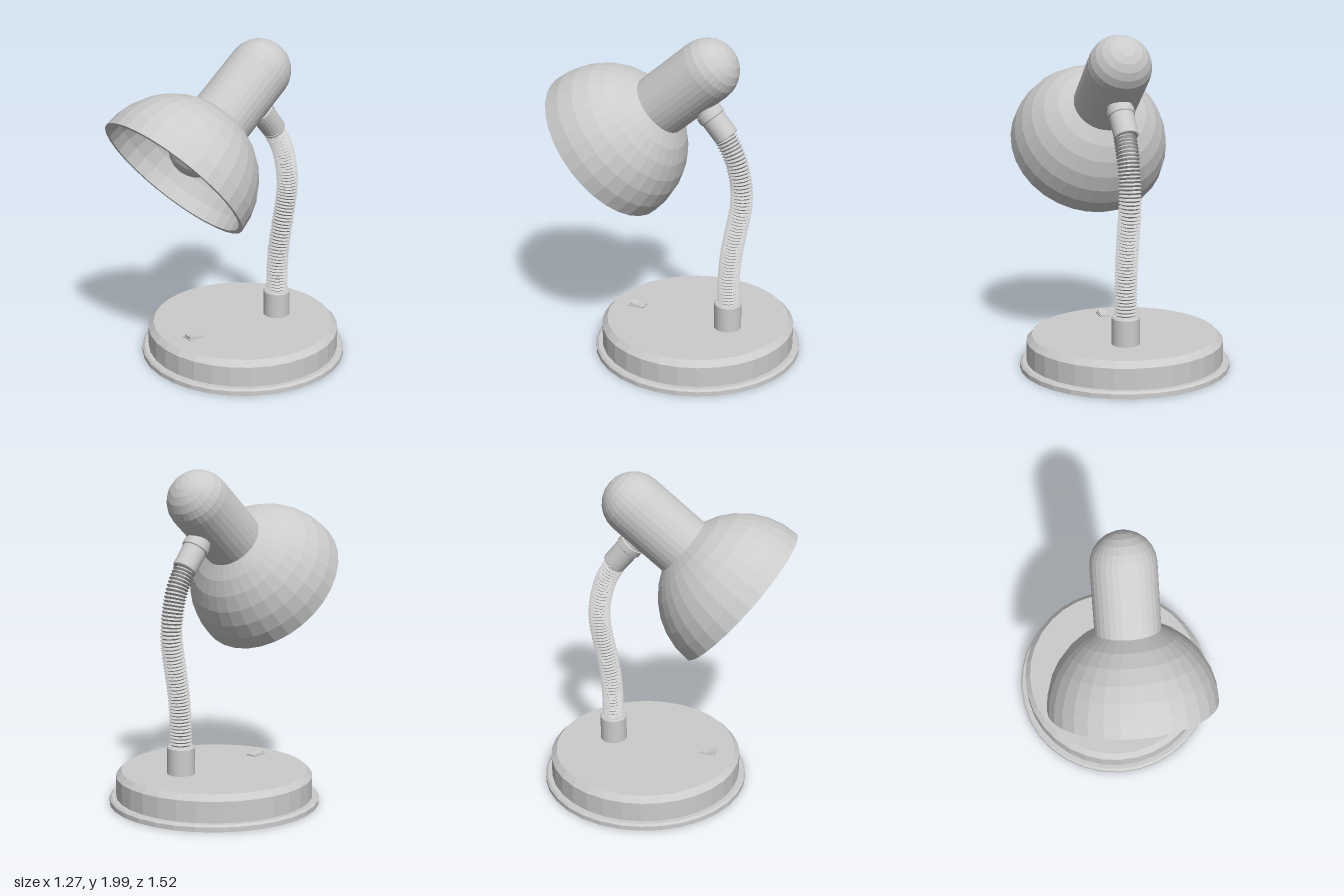
import * as THREE from 'three';

const material = new THREE.MeshStandardMaterial({ color: 0xcccccc, flatShading: true });

function add(parent, name, geometry, x = 0, y = 0, z = 0) {
  const mesh = new THREE.Mesh(geometry, material);
  mesh.name = name;
  mesh.position.set(x, y, z);
  parent.add(mesh);
  return mesh;
}

// Profile given as [radius, height] pairs, outside running upwards
function lathe(profile, sides = 32) {
  return new THREE.LatheGeometry(profile.map(([r, y]) => new THREE.Vector2(r, y)), sides);
}

// Points on a circular arc, angle measured up from the horizontal
function arc(radius, from, to, steps, y0 = 0) {
  return Array.from({ length: steps + 1 }, (_, i) => {
    const a = from + (to - from) * i / steps;
    return [Math.max(0, radius * Math.cos(a)), y0 + radius * Math.sin(a)];
  });
}

// Tube whose rings alternate between a wide and a narrow radius
function ribbedTube(points, ribs, wide, narrow) {
  const curve = new THREE.CatmullRomCurve3(points.map(p => new THREE.Vector3(...p)));
  const sides = 16, mid = (wide + narrow) / 2, swing = (wide - narrow) / 2;
  const g = new THREE.TubeGeometry(curve, ribs * 2, mid, sides);
  const pos = g.attributes.position, nor = g.attributes.normal;
  for (let i = 0; i < pos.count; i++) {
    const d = Math.floor(i / (sides + 1)) % 2 ? swing : -swing;
    pos.setXYZ(i, pos.getX(i) + nor.getX(i) * d, pos.getY(i) + nor.getY(i) * d, pos.getZ(i) + nor.getZ(i) * d);
  }
  g.computeVertexNormals();
  return g;
}

function createBase() {
  const base = new THREE.Group();
  base.name = 'base';
  base.position.z = -0.125;
  add(base, 'basePlate', lathe([
    [0, 0], [0.635, 0], [0.635, 0.028], [0.622, 0.04], [0.595, 0.04],
    [0.595, 0.165], [0.562, 0.2], [0, 0.2],
  ]));
  add(base, 'neckSocket', lathe([
    [0.083, 0.19], [0.083, 0.358], [0.077, 0.366], [0, 0.366],
  ]), 0.06, 0, -0.223);

  // Rocker switch: side profile (z, y) extruded across x
  add(base, 'switchFrame', new THREE.BoxGeometry(0.068, 0.012, 0.1), 0.022, 0.203, 0.4);
  const rocker = new THREE.Shape([
    [-0.045, 0], [0.04, 0], [0.047, 0.022], [0.005, 0.012], [-0.045, 0.01],
  ].map(p => new THREE.Vector2(...p)));
  const g = new THREE.ExtrudeGeometry(rocker, { depth: 0.05, bevelEnabled: false });
  g.translate(0, 0, -0.025).rotateY(-Math.PI / 2);
  add(base, 'switchRocker', g, 0.022, 0.2, 0.4);
  return base;
}

// Head is built upright on its own axis (rim at y = 0), then tilted
function createHead() {
  const head = new THREE.Group();
  head.name = 'head';
  head.position.set(0.074, 1.273, 0.445);
  head.rotation.set(-0.876, 0.032, 0, 'YXZ');
  const q = Math.PI / 2;

  add(head, 'shade', lathe([...arc(0.465, q, 0, 8), ...arc(0.492, 0, q, 8)]));
  add(head, 'lampHousing', lathe([[0.188, 0.43], ...arc(0.188, 0, q, 6, 0.835)]));
  add(head, 'bulbHolder', lathe([[0, 0.34], [0.164, 0.34], [0.164, 0.47]]));
  add(head, 'bulb', new THREE.SphereGeometry(0.172, 24, 16), 0, 0.237, 0);

  // Collar joining the housing to the neck, pointing out of the underside
  const collar = add(head, 'neckCollar', lathe([
    [0, 0], [0.068, 0], [0.072, 0.006], [0.074, 0.14], [0.081, 0.146],
    [0.081, 0.184], [0.075, 0.19], [0.075, 0.25],
  ], 24), 0, 0.685, -0.381);
  collar.rotation.x = q;
  return head;
}

export function createModel() {
  const lamp = new THREE.Group();
  lamp.name = 'deskLamp';
  lamp.add(createBase());
  add(lamp, 'flexibleNeck', ribbedTube([
    [0.06, 0.33, -0.35], [0.06, 0.5, -0.35], [0.06, 0.65, -0.36], [0.06, 0.8, -0.384],
    [0.058, 1.0, -0.42], [0.057, 1.1, -0.422], [0.056, 1.2, -0.407],
    [0.056, 1.31, -0.374], [0.055, 1.45, -0.295],
  ], 56, 0.068, 0.054));
  lamp.add(createHead());
  return lamp;
}
